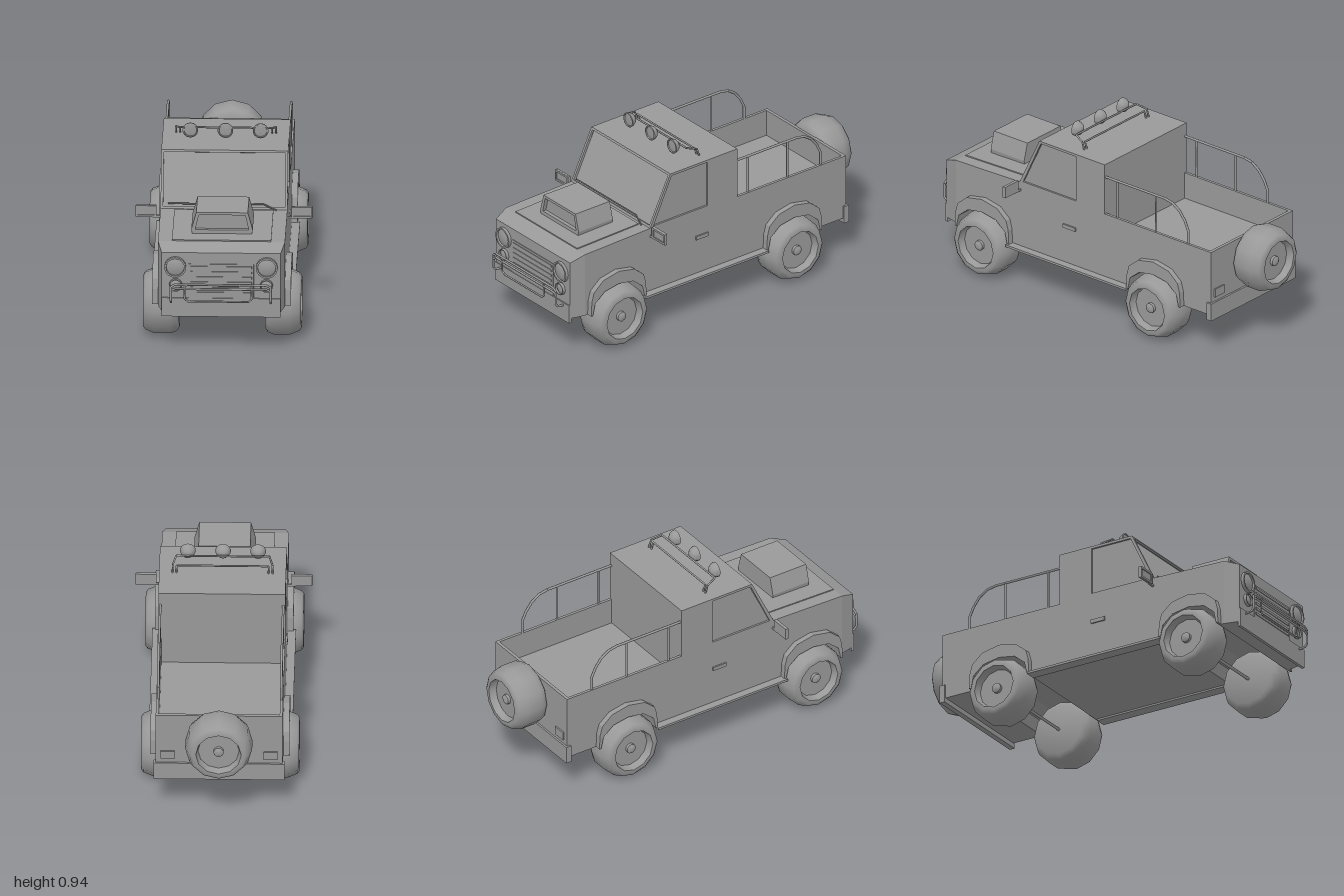
import * as THREE from 'three';
import { toCreasedNormals } from 'three/addons/utils/BufferGeometryUtils.js';

const material = new THREE.MeshStandardMaterial({ color: 0x999999, side: THREE.DoubleSide });

export function createModel() {
  const model = new THREE.Group();
  const add = (name, geometry) => {
    const mesh = new THREE.Mesh(geometry, material);
    mesh.name = name;
    model.add(mesh);
  };
  // Box from its minimum and maximum corners
  const box = (name, x0, x1, y0, y1, z0, z1) =>
    add(name, new THREE.BoxGeometry(x1 - x0, y1 - y0, z1 - z0)
      .translate((x0 + x1) / 2, (y0 + y1) / 2, (z0 + z1) / 2));
  const shapeOf = (pts, hole) => {
    const s = new THREE.Shape(pts.map(p => new THREE.Vector2(...p)));
    if (hole) s.holes.push(new THREE.Path(hole.map(p => new THREE.Vector2(...p))));
    return s;
  };
  const extrude = (pts, depth, hole) =>
    new THREE.ExtrudeGeometry(shapeOf(pts, hole), { depth, bevelEnabled: false });
  // Extrude a (z, y) outline across x0..x1
  const sideways = (pts, x0, x1, hole) =>
    extrude(pts, x1 - x0, hole).rotateY(-Math.PI / 2).translate(x1, 0, 0);
  // Straight rods joined end to end
  const tube = (name, pts, r = 0.006, closed = false) => {
    const v = pts.map(p => new THREE.Vector3(...p));
    const up = new THREE.Vector3(0, 1, 0);
    for (let i = 0; i < v.length - (closed ? 0 : 1); i++) {
      const a = v[i], b = v[(i + 1) % v.length];
      const dir = b.clone().sub(a);
      const mid = a.clone().lerp(b, 0.5);
      add(name, new THREE.CylinderGeometry(r, r, dir.length() + r * 0.6, 6)
        .applyQuaternion(new THREE.Quaternion().setFromUnitVectors(up, dir.normalize()))
        .translate(mid.x, mid.y, mid.z));
    }
  };
  // A bar given for its left half and mirrored across the middle
  const hoop = (name, half, r) =>
    tube(name, [...half, ...half.slice().reverse().map(([x, y, z]) => [-x, y, z])], r);
  const lathe = (pts, sides) => toCreasedNormals(
    new THREE.LatheGeometry(pts.map(p => new THREE.Vector2(...p)), sides), 0.7);

  const frontZ = 0.665, rearZ = -0.464, wheelY = 0.171;

  // Lower body with wheel arches cut through
  const arch = [[-0.167, 0.22], [-0.152, 0.285], [-0.092, 0.334], [0, 0.35], [0.092, 0.334], [0.152, 0.285], [0.167, 0.22]];
  const archAt = c => arch.map(([z, y]) => [z + c, y]);
  add('body', sideways([
    [-0.82, 0.22], ...archAt(rearZ), ...archAt(frontZ), [0.86, 0.22],
    [0.86, 0.568], [0.44, 0.578], [-0.12, 0.578], [-0.12, 0.43], [-0.82, 0.43],
  ], -0.32, 0.32));

  // Nose with sloped top edge and slightly narrowed front
  const nose = new THREE.BoxGeometry(0.64, 0.348, 0.08).translate(0, 0.394, 0.9);
  const p = nose.attributes.position;
  for (let i = 0; i < p.count; i++) {
    if (p.getZ(i) < 0.9) continue;
    p.setX(i, Math.sign(p.getX(i)) * 0.3);
    if (p.getY(i) > 0.4) p.setY(i, 0.538);
  }
  nose.computeVertexNormals();
  add('nose', nose);
  box('frontBumper', -0.3, 0.3, 0.195, 0.295, 0.932, 0.947);
  box('rearBumper', -0.33, 0.33, 0.195, 0.29, -0.83, -0.8);
  add('hoodPanel', sideways([[0.46, 0.57], [0.855, 0.56], [0.855, 0.574], [0.46, 0.583]], -0.25, 0.25));

  // Load bed walls
  box('tailgate', -0.32, 0.32, 0.42, 0.572, -0.82, -0.803);
  for (const s of [-1, 1]) {
    const x = s * 0.3125;
    box('bedWall', x - 0.0075, x + 0.0075, 0.42, 0.572, -0.82, -0.12);
  }

  // Cab with recessed windows
  add('cabCore', sideways([[0.425, 0.575], [0.296, 0.84], [-0.12, 0.845], [-0.12, 0.575]], -0.31, 0.31));
  box('roof', -0.32, 0.32, 0.836, 0.846, -0.12, 0.31);
  const cabSide = [[0.44, 0.575], [0.31, 0.845], [-0.12, 0.845], [-0.12, 0.575]];
  const windowHole = [[0.418, 0.585], [0.302, 0.833], [0.07, 0.833], [0.07, 0.585]];
  add('cabSideLeft', sideways(cabSide, 0.309, 0.32, windowHole));
  add('cabSideRight', sideways(cabSide, -0.32, -0.309, windowHole));
  add('windshieldFrame', extrude(
    [[-0.32, 0], [0.32, 0], [0.32, 0.298], [-0.32, 0.298]], 0.011,
    [[-0.307, 0.012], [-0.307, 0.287], [0.307, 0.287], [0.307, 0.012]])
    .translate(0, 0, -0.011).rotateX(-Math.atan2(0.13, 0.268)).translate(0, 0.578, 0.441));
  tube('wiper', [[-0.28, 0.605, 0.437], [0.2, 0.605, 0.437], [0.265, 0.58, 0.455]], 0.004);

  // Hood scoop with recessed mouth
  const scoop = [[-0.15, 0.57], [0.15, 0.57], [0.155, 0.598], [0.13, 0.69], [-0.13, 0.69], [-0.155, 0.598]];
  const mouth = [[-0.135, 0.596], [-0.117, 0.676], [0.117, 0.676], [0.135, 0.596]];
  add('scoopShell', extrude(scoop, 0.02, mouth).translate(0, 0, 0.75));
  add('scoopCore', extrude(scoop, 0.2).translate(0, 0, 0.55));

  // Grille with slats
  box('grille', -0.165, 0.165, 0.295, 0.478, 0.93, 0.944);
  for (let i = 0; i < 6; i++) {
    const y = 0.315 + i * 0.028;
    box('grilleSlat', -0.155, 0.155, y, y + 0.012, 0.94, 0.948);
  }

  // Bull bar
  hoop('bullBar', [[0.252, 0.28, 0.94], [0.252, 0.285, 0.98], [0.252, 0.3, 0.993], [0.252, 0.35, 0.993], [0.232, 0.362, 0.993]]);
  hoop('bullBar', [[0.252, 0.35, 0.993], [0.252, 0.372, 0.993], [0.232, 0.385, 0.993]]);
  tube('bullBarLoop', [[-0.17, 0.385], [-0.183, 0.372], [-0.183, 0.31], [-0.165, 0.295],
    [0.14, 0.295], [0.155, 0.31], [0.155, 0.372], [0.142, 0.385]].map(([x, y]) => [x, y, 0.993]), 0.005, true);

  // Front lamps: a rim ring around a slightly domed lens
  const lamp = (name, x, y, r) => add(name, lathe(
    [[r, 0], [r, 0.018], [r * 0.84, 0.018], [r * 0.82, 0.008], [r * 0.5, 0.014], [0, 0.017]], 16)
    .rotateX(Math.PI / 2).translate(x, y, 0.938));

  // Wheel profile from the inner side to the hub
  const tyre = [[0, 0], [0.135, 0], [0.157, 0.014], [0.169, 0.045], [0.169, 0.125], [0.15, 0.172],
    [0.135, 0.183], [0.115, 0.183], [0.104, 0.145], [0.026, 0.145], [0.026, 0.16], [0.012, 0.168], [0, 0.168]];
  const flareOut = [[0.178, 0.22], [0.174, 0.3], [0.16, 0.35], [0.1, 0.4], [0, 0.42],
    [-0.1, 0.4], [-0.16, 0.35], [-0.174, 0.3], [-0.178, 0.22]];

  for (const s of [-1, 1]) {
    lamp('headlight', s * 0.231, 0.462, 0.055);
    lamp('indicator', s * 0.229, 0.365, 0.033);
    for (const z of [frontZ, rearZ]) {
      add('wheel', lathe(tyre, 12).rotateZ(-s * Math.PI / 2).translate(s * 0.216, wheelY, z));
      const ring = [...flareOut, ...arch].map(([dz, y]) => [dz + z, y]);
      add('wheelFlare', sideways(ring, s > 0 ? 0.315 : -0.35, s > 0 ? 0.35 : -0.315));
    }
    // Sill, door handle and tail lamp
    const side = (name, a, b, ...rest) => box(name, Math.min(s * a, s * b), Math.max(s * a, s * b), ...rest);
    side('sill', 0.3, 0.362, 0.211, 0.223, -0.29, 0.5);
    side('doorHandle', 0.315, 0.328, 0.415, 0.435, 0.07, 0.15);
    side('tailLamp', 0.225, 0.295, 0.315, 0.36, -0.828, -0.815);

    // Door mirror with raised rim
    side('mirrorStalk', 0.31, 0.36, 0.53, 0.541, 0.432, 0.443);
    side('mirror', 0.34, 0.445, 0.534, 0.595, 0.43, 0.44);
    add('mirrorRim', extrude([[-0.0525, -0.03], [0.0525, -0.03], [0.0525, 0.03], [-0.0525, 0.03]], 0.01,
      [[-0.043, -0.02], [-0.043, 0.02], [0.043, 0.02], [0.043, -0.02]]).translate(s * 0.3925, 0.5645, 0.437));

    // Bed side rail
    const x = s * 0.31;
    tube('bedRail', [[x, 0.775, -0.12], [x, 0.775, -0.51], [x, 0.765, -0.56], [x, 0.735, -0.605],
      [x, 0.69, -0.64], [x, 0.64, -0.663], [x, 0.565, -0.663]], 0.007);
    for (const z of [-0.195, -0.45]) tube('bedRailPost', [[x, 0.565, z], [x, 0.775, z]], 0.006);
  }

  // Axles
  for (const z of [frontZ, rearZ]) tube('axle', [[-0.23, 0.172, z], [0.23, 0.172, z]], 0.008);

  // Spare wheel on the tailgate
  add('spareWheel', lathe(tyre, 12).rotateX(-Math.PI / 2).translate(0, 0.455, -0.817));

  // Roof light bar and lamps
  hoop('roofBar', [[0.252, 0.84, 0.07], [0.252, 0.885, 0.085], [0.235, 0.902, 0.14]], 0.005);
  hoop('roofBar', [[0.232, 0.84, 0.07], [0.232, 0.88, 0.085]], 0.005);
  for (const x of [-0.177, 0, 0.177]) {
    add('roofLamp', lathe([[0, -0.04], [0.018, -0.036], [0.031, -0.025], [0.038, -0.01], [0.04, 0],
      [0.034, 0.002], [0.032, -0.004], [0, -0.002]], 14).rotateX(Math.PI / 2).translate(x, 0.904, 0.188));
  }
  return model;
}
